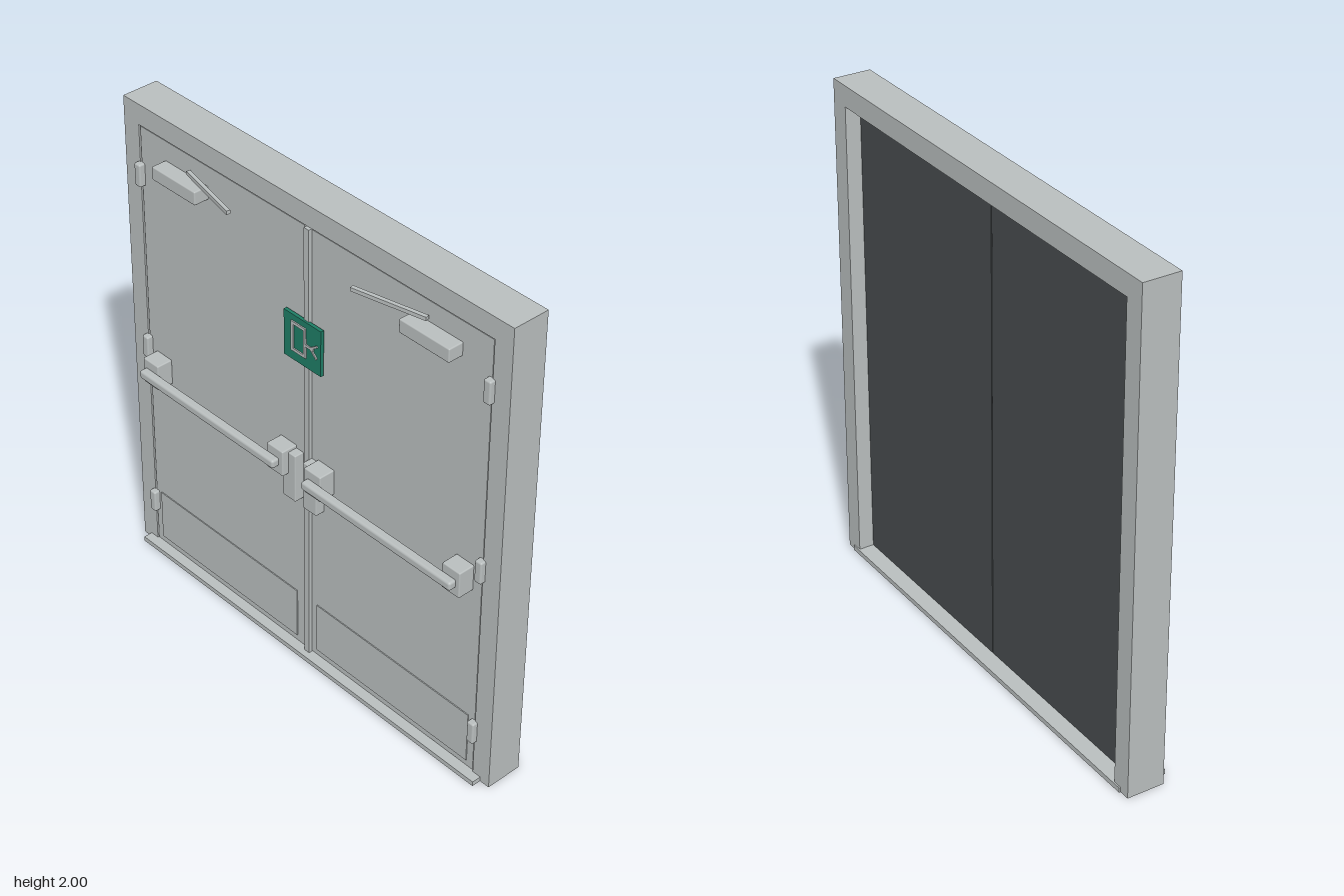
import * as THREE from 'three';
import { RoundedBoxGeometry } from 'three/addons/geometries/RoundedBoxGeometry.js';

const mat = (name, color) => {
  const m = new THREE.MeshStandardMaterial({ color });
  m.name = name;
  return m;
};

export function createModel() {
  const root = new THREE.Group();
  root.name = 'doubleFireDoor';
  const grey = mat('painted steel grey', 0xb9bebe);
  const dark = mat('dark backing', 0x484d4f);
  const green = mat('sign green', 0x1f7d65);

  // Box given by its limits on each axis; a radius rounds the edges
  const block = (parent, name, m, [x0, x1], [y0, y1], [z0, z1], r = 0) => {
    const s = [x1 - x0, y1 - y0, z1 - z0];
    const geo = r ? new RoundedBoxGeometry(...s, 3, r) : new THREE.BoxGeometry(...s);
    const mesh = new THREE.Mesh(geo, m);
    mesh.position.set((x0 + x1) / 2, (y0 + y1) / 2, (z0 + z1) / 2);
    mesh.name = name;
    parent.add(mesh);
    return mesh;
  };

  // Frame: head and two jambs in one piece
  const outline = [[-0.967, 0], [-0.967, 2], [0.967, 2], [0.967, 0],
    [0.886, 0], [0.886, 1.916], [-0.886, 1.916], [-0.886, 0]];
  const frameShape = new THREE.Shape(outline.map(([x, y]) => new THREE.Vector2(x, y)));
  const frame = new THREE.Mesh(
    new THREE.ExtrudeGeometry(frameShape, { depth: 0.152, bevelEnabled: false }), grey);
  frame.position.z = -0.122;
  frame.name = 'frame';
  root.add(frame);

  block(root, 'sill', grey, [-0.924, 0.924], [0, 0.02], [-0.128, 0.068]);
  block(root, 'centreGap', dark, [-0.02, 0.01], [0.02, 1.914], [-0.055, 0.012]);
  block(root, 'astragal', grey, [0, 0.025], [0.02, 1.914], [0.012, 0.042]);

  // Each leaf is laid out for +x and mirrored by swapping its limits
  for (const side of [-1, 1]) {
    const leaf = new THREE.Group();
    leaf.name = side > 0 ? 'leftLeaf' : 'rightLeaf';
    root.add(leaf);
    const put = (name, m, [a, b], y, z, r) =>
      block(leaf, name, m, side > 0 ? [a, b] : [-b, -a], y, z, r);

    put('leafFace', grey, [0.012, 0.881], [0.024, 1.911], [0, 0.027]);
    put('leafBack', dark, [0.002, 0.886], [0.02, 1.916], [-0.06, 0]);
    put('kickPlate', grey, [0.055, 0.85], [0.05, 0.27], [0.025, 0.031]);

    // Hinges
    for (const y of [0.22, 0.963, 1.716])
      put('hinge', grey, [0.865, 0.897], [y - 0.047, y + 0.047], [0.02, 0.052], 0.007);

    // Push bar with its end housings and latch case
    put('latchCase', grey, [0.021, 0.09], [0.736, 0.943], [0.025, 0.067], 0.004);
    for (const x of [0.057, 0.756])
      put('barHousing', grey, [x, x + 0.085], [0.846, 0.956], [0.025, 0.095], 0.005);
    put('pushBar', grey, [0.075, 0.826], [0.885, 0.921], [0.092, 0.128], 0.01);

    // Door closer and its slanted arm
    put('closerBody', grey, [0.513, 0.746], [1.776, 1.831], [0.025, 0.09], 0.005);
    const arm = put('closerArm', grey, [0.305, 0.602], [1.848, 1.863], [0.069, 0.085]);
    arm.rotation.y = side * 0.22;
  }

  // Exit sign: plate, slightly smaller raised face, door and arrow strokes
  const sign = new THREE.Group();
  sign.name = 'exitSign';
  root.add(sign);
  block(sign, 'signPlate', green, [-0.095, 0.095], [1.35, 1.54], [0.036, 0.05]);
  const stroke = (x0, y0, x1, y1, w) => {
    const m = new THREE.Mesh(
      new THREE.BoxGeometry(Math.hypot(x1 - x0, y1 - y0), w, 0.006), grey);
    m.position.set((x0 + x1) / 2, (y0 + y1) / 2, 0.052);
    m.rotation.z = Math.atan2(y1 - y0, x1 - x0);
    m.name = 'signStroke';
    sign.add(m);
  };
  for (const x of [-0.048, 0.015]) stroke(x, 1.39, x, 1.515, 0.012);
  for (const y of [1.396, 1.509]) stroke(-0.054, y, 0.021, y, 0.012);
  stroke(0.015, 1.446, 0.06, 1.446, 0.01);
  stroke(0.045, 1.446, 0.08, 1.47, 0.008);
  stroke(0.045, 1.446, 0.077, 1.415, 0.008);
  return root;
}
